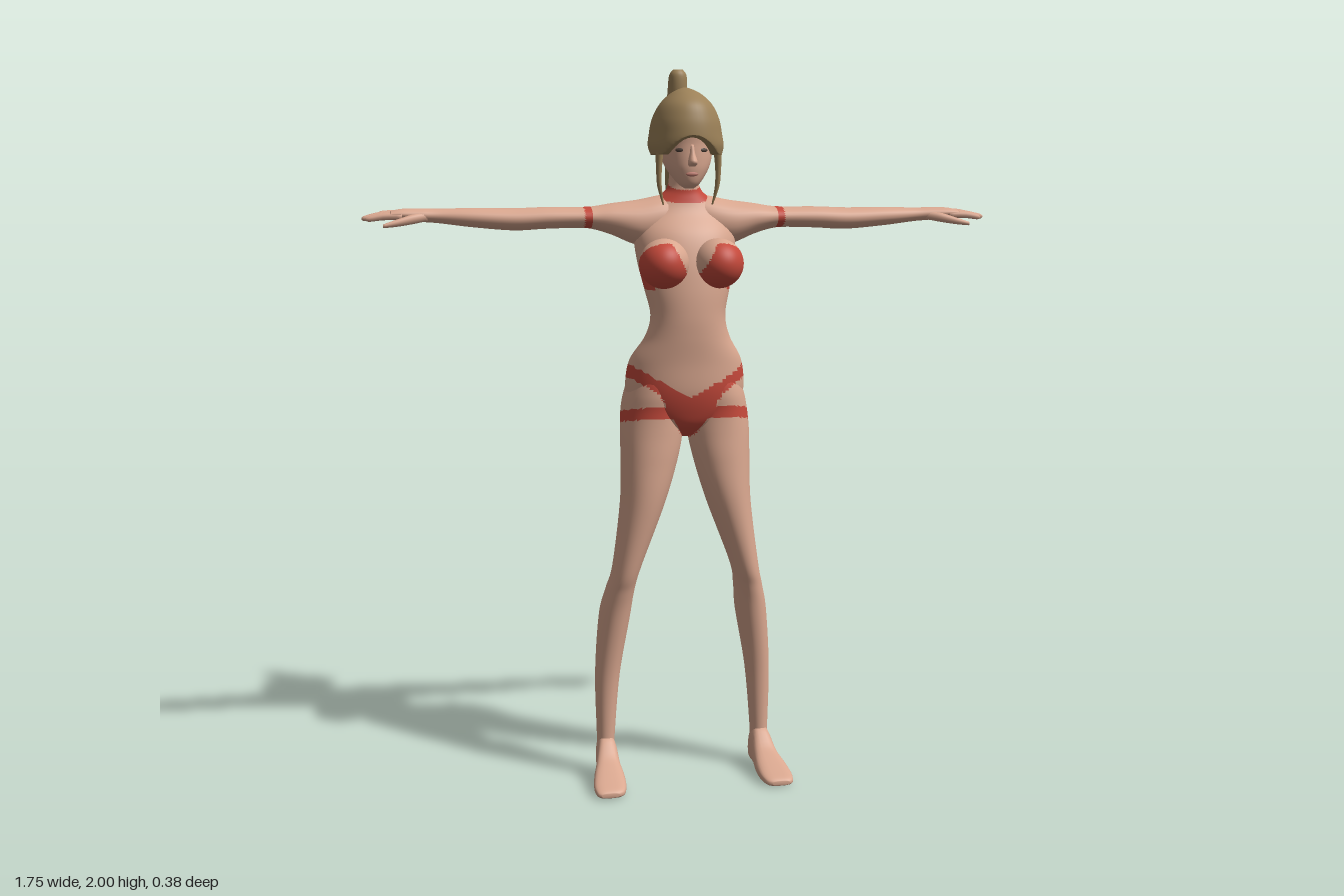
import * as THREE from 'three';

const mat = (name, color, side = THREE.FrontSide) => {
  const m = new THREE.MeshStandardMaterial({ color, side });
  m.name = name;
  return m;
};
const skin = mat('skin', 0xd9a78f);
const red = mat('red cloth', 0xc5493b);
const hair = mat('hair', 0x9c8158);
const eyeDark = mat('eyes', 0x4f4038);
const lip = mat('lips', 0xb9776a);

// Axis order [u, v, t] for lofts running along x, y or z
const AXES = { x: [1, 2, 0], y: [2, 0, 1], z: [0, 1, 2] };

// Smooth closed loft. Each row is [t, uMin, uMax, vMin, vMax] with t increasing.
function loft(axis, rows, { seg = 32, sub = 6, power = 2.1 } = {}) {
  const at = (i) => rows[Math.max(0, Math.min(rows.length - 1, i))];
  const pos = [], index = [], [U, V, T] = AXES[axis];
  const put = (u, v, t) => {
    const p = [0, 0, 0];
    p[U] = u; p[V] = v; p[T] = t;
    pos.push(...p);
  };
  const count = (rows.length - 1) * sub + 1;
  for (let k = 0; k < count; k++) {
    const i = Math.floor(k / sub), f = k / sub - i;
    const [a, b, c, d] = [at(i - 1), at(i), at(i + 1), at(i + 2)];
    const [t, u0, u1, v0, v1] = b.map((_, n) => b[n] + 0.5 * f * (c[n] - a[n]
      + f * (2 * a[n] - 5 * b[n] + 4 * c[n] - d[n] + f * (3 * (b[n] - c[n]) + d[n] - a[n]))));
    for (let j = 0; j < seg; j++) {
      const q = (j / seg) * Math.PI * 2, e = 2 / power;
      const c1 = Math.cos(q), s1 = Math.sin(q);
      put((u0 + u1) / 2 + (u1 - u0) / 2 * Math.sign(c1) * Math.abs(c1) ** e,
        (v0 + v1) / 2 + (v1 - v0) / 2 * Math.sign(s1) * Math.abs(s1) ** e, t);
    }
  }
  for (const r of [rows[0], at(rows.length)]) put((r[1] + r[2]) / 2, (r[3] + r[4]) / 2, r[0]);
  const low = count * seg, top = (count - 1) * seg;
  for (let j = 0; j < seg; j++) {
    const n = (j + 1) % seg;
    for (let k = 0; k < count - 1; k++) {
      const a = k * seg + j, b = k * seg + n;
      index.push(a, b, a + seg, b, b + seg, a + seg);
    }
    index.push(low, n, j, low + 1, top + j, top + n);
  }
  const g = new THREE.BufferGeometry();
  g.setAttribute('position', new THREE.Float32BufferAttribute(pos, 3));
  g.setIndex(index);
  g.computeVertexNormals();
  return g;
}

// Sort faces into two material groups by a rule on the face centre
function paint(g, rule) {
  const p = g.attributes.position, ix = g.index.array, sets = [[], []];
  for (let i = 0; i < ix.length; i += 3) {
    const tri = [ix[i], ix[i + 1], ix[i + 2]];
    const mid = (get) => tri.reduce((s, v) => s + p[get](v), 0) / 3;
    sets[rule(Math.abs(mid('getX')), mid('getY'), mid('getZ')) ? 1 : 0].push(...tri);
  }
  g.setIndex(sets.flat());
  g.clearGroups();
  g.addGroup(0, sets[0].length, 0);
  g.addGroup(sets[0].length, sets[1].length, 1);
  return g;
}

function mirrored(g) {
  const m = g.clone().scale(-1, 1, 1), ix = m.index.array;
  for (let i = 0; i < ix.length; i += 3) [ix[i], ix[i + 1]] = [ix[i + 1], ix[i]];
  m.computeVertexNormals();
  return m;
}

// Cloth rules; x is the distance from the middle
function bottoms(x, y, z) {
  if (y > 1.22 || y < 0.98) return false;
  if (Math.abs(y - (1.042 + 0.2 * z)) < 0.016 && x > 0.03) return true;
  if (z > 0) {
    const top = 1.105 + 0.085 * Math.min(1, x / 0.155);
    return y < top && (y > top - 0.036 || x < 0.02 + (y - 1.0) * 0.6);
  }
  return y < 1.19 && (y > 1.16 || x < 0.012 + Math.max(0, y - 1.06) * 0.75);
}
const choker = (y, z) => Math.abs(y - (1.668 - 0.35 * z)) < 0.017;
const chestStrap = (x, y, z) => Math.abs(y - 1.432 + 0.1 * z) < 0.024 && (z < 0 || x > 0.1);
const cup = (x, y, z) => y < 1.53 && x > 0.015 + (y - 1.44) * 0.55 && y < 1.45 + (z - 0.06) * 0.85;

export function createModel() {
  const model = new THREE.Group();
  const add = (name, geometry, material) => {
    const m = new THREE.Mesh(geometry, material);
    m.name = name;
    model.add(m);
    return m;
  };
  const pair = (name, g, material) => {
    add('left' + name, g, material);
    add('right' + name, mirrored(g), material);
  };
  const cloth = [skin, red];
  // Upright rows given as [y, half width, back z, front z]
  const upright = (rows) => rows.map(([y, w, b, f]) => [y, b, f, -w, w]);

  // Torso and neck
  const torso = loft('y', upright([
    [0.99, 0.03, -0.04, 0.05], [1.02, 0.09, -0.06, 0.09], [1.06, 0.15, -0.085, 0.11],
    [1.12, 0.167, -0.1, 0.125], [1.2, 0.158, -0.085, 0.13], [1.27, 0.118, -0.035, 0.137],
    [1.33, 0.104, -0.02, 0.14], [1.4, 0.118, -0.045, 0.137], [1.48, 0.135, -0.075, 0.125],
    [1.55, 0.14, -0.085, 0.102], [1.61, 0.12, -0.085, 0.06], [1.65, 0.072, -0.07, 0.046],
    [1.68, 0.044, -0.046, 0.044], [1.74, 0.04, -0.045, 0.048], [1.79, 0.04, -0.045, 0.05],
  ]), { seg: 72, sub: 9 });
  add('torso', paint(torso, (x, y, z) => bottoms(x, y, z) || choker(y, z) || chestStrap(x, y, z)), cloth);

  // Bust with cups
  const bust = new THREE.SphereGeometry(1, 56, 44);
  bust.scale(0.068, 0.068, 0.08).rotateY(0.15).translate(0.075, 1.472, 0.106);
  pair('Breast', paint(bust, cup), cloth);

  // Legs
  const leg = loft('y', [
    [0.06, -0.046, 0.02, 0.202, 0.25], [0.13, -0.045, 0.02, 0.2, 0.252], [0.3, -0.057, 0.03, 0.185, 0.255],
    [0.47, -0.075, 0.055, 0.156, 0.243], [0.55, -0.055, 0.072, 0.146, 0.226], [0.62, -0.036, 0.09, 0.13, 0.209],
    [0.8, -0.055, 0.108, 0.062, 0.186], [0.92, -0.062, 0.108, 0.025, 0.183], [1.0, -0.075, 0.105, 0.008, 0.183],
    [1.06, -0.1, 0.105, 0.003, 0.179], [1.11, -0.11, 0.11, 0.002, 0.169], [1.16, -0.102, 0.105, 0.01, 0.15],
    [1.21, -0.06, 0.08, 0.04, 0.12],
  ], { seg: 48, sub: 8 });
  pair('Leg', paint(leg, bottoms), cloth);

  // Feet
  const foot = loft('z', [
    [-0.055, 0.212, 0.242, 0.01, 0.04], [-0.045, 0.203, 0.25, 0, 0.075], [-0.02, 0.2, 0.254, 0, 0.115],
    [0.02, 0.198, 0.256, 0, 0.115], [0.06, 0.195, 0.266, 0, 0.075], [0.1, 0.191, 0.277, 0, 0.055],
    [0.15, 0.193, 0.284, 0, 0.036], [0.183, 0.203, 0.28, 0, 0.024], [0.193, 0.22, 0.268, 0.004, 0.016],
  ], { seg: 28, sub: 4, power: 2.8 });
  pair('Foot', foot, skin);

  // Arms with bands, running into the palms
  const arm = loft('x', [
    [0.02, 1.54, 1.662, -0.075, 0.045], [0.07, 1.52, 1.655, -0.085, 0.058], [0.13, 1.52, 1.643, -0.09, 0.062],
    [0.2, 1.548, 1.634, -0.085, 0.055], [0.25, 1.563, 1.626, -0.074, 0.047], [0.29, 1.567, 1.624, -0.07, 0.044],
    [0.38, 1.565, 1.624, -0.065, 0.042], [0.47, 1.561, 1.621, -0.062, 0.039], [0.58, 1.57, 1.622, -0.056, 0.031],
    [0.67, 1.581, 1.62, -0.048, 0.019], [0.72, 1.585, 1.621, -0.05, 0.02], [0.77, 1.59, 1.62, -0.053, 0.022],
    [0.8, 1.594, 1.614, -0.05, 0.02],
  ], { seg: 32, sub: 8 });
  pair('Arm', paint(arm, (x) => Math.abs(x - 0.27) < 0.01), cloth);

  // Fingers and thumb
  [0.845, 0.868, 0.875, 0.865].forEach((tip, i) => {
    const z = -0.042 + i * 0.018, end = z * 0.6 + 0.004, y = 1.607 - i * 0.002;
    pair('Finger' + (i + 1), loft('x', [
      [0.77, y - 0.01, y + 0.01, z - 0.011, z + 0.011],
      [0.82, y - 0.011, y + 0.008, z * 0.85 - 0.01, z * 0.85 + 0.01],
      [tip - 0.01, y - 0.015, y, end - 0.008, end + 0.008],
      [tip, y - 0.012, y - 0.006, end - 0.003, end + 0.003],
    ], { seg: 10, sub: 3 }), skin);
  });
  pair('Thumb', loft('x', [
    [0.7, 1.588, 1.612, -0.01, 0.016], [0.74, 1.58, 1.606, 0.006, 0.032],
    [0.785, 1.573, 1.592, 0.022, 0.043], [0.82, 1.57, 1.58, 0.036, 0.047],
  ], { seg: 12, sub: 4 }), skin);

  // Head
  add('head', loft('y', upright([
    [1.674, 0.012, 0.065, 0.092], [1.688, 0.03, 0.03, 0.11], [1.72, 0.053, -0.01, 0.119],
    [1.75, 0.066, -0.04, 0.121], [1.79, 0.072, -0.06, 0.121], [1.83, 0.075, -0.07, 0.122],
    [1.87, 0.06, -0.05, 0.1],
  ]), { seg: 40 }), skin);
  add('nose', loft('y', upright([
    [1.732, 0.009, 0.1, 0.13], [1.743, 0.013, 0.1, 0.15], [1.765, 0.008, 0.1, 0.134], [1.79, 0.006, 0.1, 0.123],
  ]), { seg: 12, sub: 4 }), skin);
  const plate = (w, h, x, y, z, turn) =>
    new THREE.SphereGeometry(1, 16, 8).scale(w, h, 0.004).rotateY(turn).translate(x, y, z);
  pair('Eye', plate(0.014, 0.006, 0.031, 1.776, 0.111, 0.3), eyeDark);
  add('mouth', plate(0.017, 0.006, 0, 1.712, 0.117, 0), lip);

  // Hair cap, its lower edge arched over the forehead
  const cap = loft('y', upright([
    [1.765, 0.097, -0.06, 0.134], [1.79, 0.103, -0.085, 0.142], [1.82, 0.099, -0.096, 0.144],
    [1.86, 0.091, -0.09, 0.139], [1.9, 0.071, -0.07, 0.122], [1.93, 0.04, -0.04, 0.08],
    [1.945, 0.01, 0.005, 0.03],
  ]), { seg: 48 });
  const p = cap.attributes.position;
  for (let i = 0; i < p.count; i++) {
    const arch = 1.765 + 0.05 * (1 - (p.getX(i) / 0.075) ** 2);
    if (p.getZ(i) > 0.07 && p.getY(i) < arch) p.setY(i, arch);
  }
  cap.computeVertexNormals();
  add('hairCap', cap, hair);

  // Side locks
  pair('Lock', loft('y', [
    [1.63, 0.058, 0.062, 0.066, 0.07], [1.68, 0.058, 0.076, 0.074, 0.086],
    [1.73, 0.06, 0.082, 0.074, 0.09], [1.79, 0.05, 0.09, 0.068, 0.092],
  ], { seg: 10, sub: 4 }), hair);

  // Ponytail with its wrap
  const tail = loft('y', upright([
    [1.61, 0.004, -0.186, -0.18], [1.65, 0.018, -0.176, -0.135], [1.7, 0.025, -0.167, -0.112],
    [1.76, 0.028, -0.156, -0.092], [1.83, 0.03, -0.136, -0.074], [1.87, 0.031, -0.126, -0.068],
    [1.91, 0.029, -0.12, -0.062], [1.95, 0.027, -0.115, -0.056], [1.985, 0.024, -0.106, -0.056],
    [2.0, 0.014, -0.095, -0.065],
  ]), { seg: 24, sub: 6 });
  add('ponytail', paint(tail, (x, y) => y > 1.83 && y < 1.91), [hair, red]);

  return model;
}
